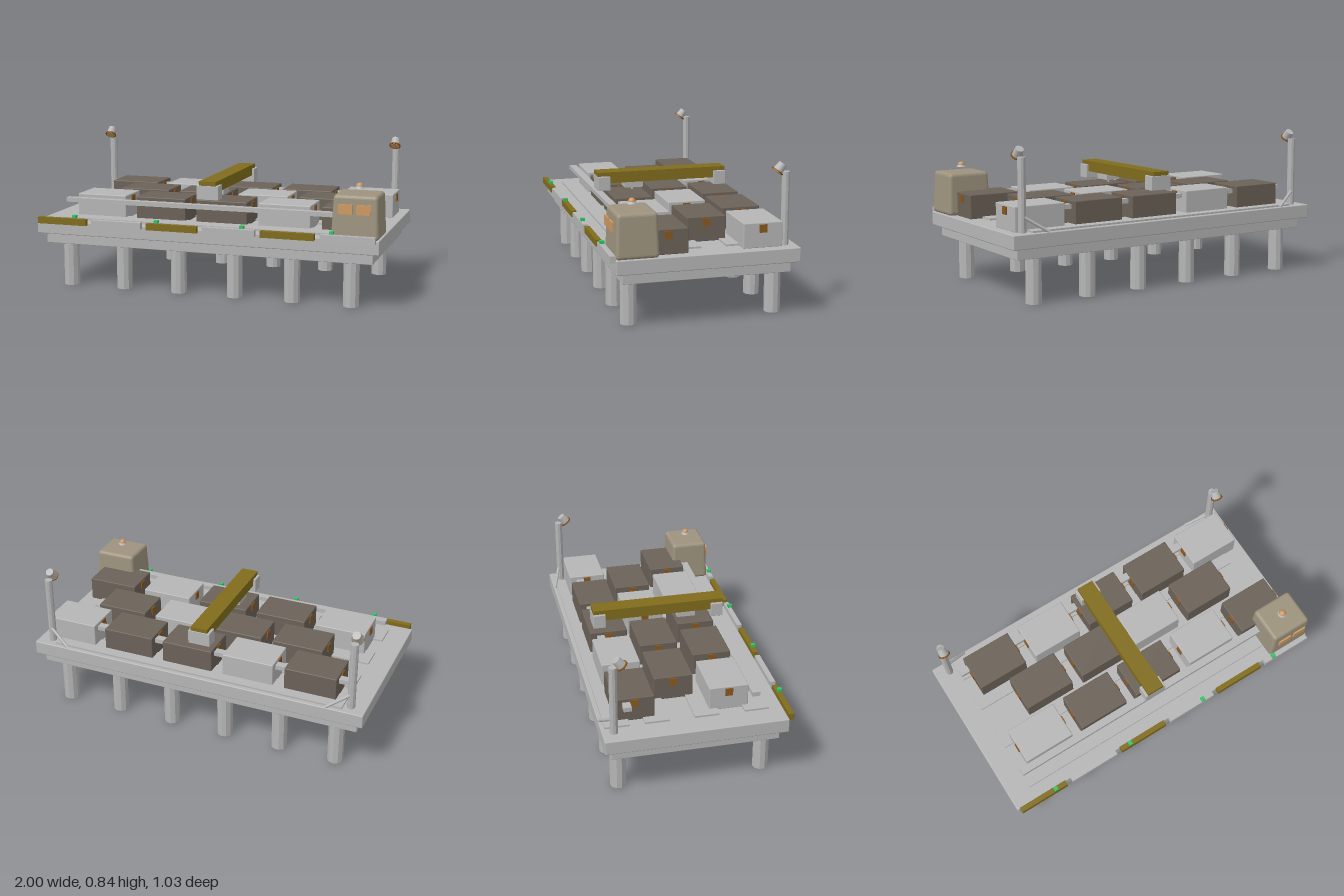
import * as THREE from 'three';
import { RoundedBoxGeometry } from 'three/addons/geometries/RoundedBoxGeometry.js';

const mat = (name, color, extra = {}) => {
  const m = new THREE.MeshStandardMaterial({ color, ...extra });
  m.name = name;
  return m;
};

export function createModel() {
  const root = new THREE.Group();
  root.name = 'cargoPier';

  const grey = mat('concreteGrey', 0xb6b6b6);
  const greyFlat = mat('steelGrey', 0xb6b6b6, { flatShading: true });
  const dark = mat('darkTaupe', 0x6b6258);
  const gold = mat('fenderGold', 0x806c1c);
  const beige = mat('cabinBeige', 0x9d937e);
  const glass = mat('windowOrange', 0xcf9a62);
  const hatchBrown = mat('hatchBrown', 0x8a5820);
  const green = mat('signalGreen', 0x2fc565);

  const add = (name, geo, material, x, y, z, parent = root) => {
    const m = new THREE.Mesh(geo, material);
    m.name = name;
    m.position.set(x, y, z);
    parent.add(m);
    return m;
  };
  // Box given by its centre in x and z and its bottom and top in y
  const box = (name, material, w, d, y0, y1, x, z, r = 0) => {
    const h = y1 - y0;
    const geo = r ? new RoundedBoxGeometry(w, h, d, 2, r) : new THREE.BoxGeometry(w, h, d);
    return add(name, geo, material, x, (y0 + y1) / 2, z);
  };

  // Deck, under-slab and piles
  box('deck', grey, 2, 0.995, 0.311, 0.39, 0, -0.013, 0.005);
  box('underSlab', grey, 1.92, 0.915, 0.25, 0.312, 0, -0.013, 0.003);
  const pileGeo = new THREE.CylinderGeometry(0.045, 0.045, 0.255, 10);
  for (let i = 0; i < 6; i++) {
    for (const z of [0.385, -0.415]) {
      const pile = add('pile', pileGeo, greyFlat, -0.833 + i * 0.3333, 0.1275, z);
      pile.rotation.y = i * 0.9;
    }
  }

  // Low strips on the deck
  for (const z of [-0.42, -0.205, 0.065, 0.34]) box('deckStrip', grey, 1.75, 0.135, 0.385, 0.4, 0, z);

  // Staggered rows of containers with a hatch at each end
  const rows = [
    { z: -0.317, x0: -0.67, kinds: 'DLDDL' },
    { z: -0.068, x0: -0.505, kinds: 'DDLD' },
    { z: 0.198, x0: -0.67, kinds: 'LDDLD' },
  ];
  for (const row of rows) {
    [...row.kinds].forEach((kind, i) => {
      const x = row.x0 + i * 0.3665;
      box('container', kind === 'D' ? dark : grey, 0.3, 0.216, 0.388, 0.525, x, row.z, 0.005);
      for (const s of [-1, 1]) box('hatch', hatchBrown, 0.009, 0.042, 0.472, 0.515, x + s * 0.152, row.z);
    });
  }

  // Gantry: two rails, end carriages, beam and hoist
  for (const z of [0.333, -0.363]) {
    box('gantryRail', grey, 1.75, 0.043, 0.48, 0.505, 0, z);
    box('gantryCarriage', grey, 0.13, 0.072, 0.538, 0.62, 0, z, 0.003);
  }
  box('gantryBeam', gold, 0.1, 0.765, 0.579, 0.643, 0, -0.014);
  box('hoist', grey, 0.085, 0.107, 0.545, 0.58, 0, 0.153);
  add('hoistCable', new THREE.CylinderGeometry(0.006, 0.006, 0.05, 8), grey, 0, 0.525, 0.153);

  // Fenders along the front edge, with signal lamps
  for (let i = 0; i < 6; i++) {
    box('fender', i % 2 ? grey : gold, 0.3, 0.03, 0.375, 0.412, -0.833 + i * 0.3333, 0.499);
  }
  for (let i = 0; i < 4; i++) box('signalLamp', green, 0.023, 0.024, 0.417, 0.433, -0.755 + i * 0.5, 0.502);

  // Control cabin, narrowing towards the top
  const cabinGeo = new RoundedBoxGeometry(0.262, 0.239, 0.232, 3, 0.02);
  const p = cabinGeo.attributes.position;
  for (let i = 0; i < p.count; i++) {
    const k = 1 - 0.08 * (p.getY(i) / 0.239 + 0.5);
    p.setX(i, p.getX(i) * k);
    p.setZ(i, p.getZ(i) * k);
  }
  cabinGeo.computeVertexNormals();
  add('cabin', cabinGeo, beige, 0.866, 0.508, 0.37);
  for (const x of [0.814, 0.914]) box('cabinWindow', glass, 0.078, 0.009, 0.527, 0.581, x, 0.491);

  // Beacon above the cabin
  add('beaconBase', new THREE.CylinderGeometry(0.018, 0.026, 0.013, 16), grey, 0.865, 0.658, 0.37);
  add('beaconDome', new THREE.SphereGeometry(0.019, 16, 8, 0, Math.PI * 2, 0, Math.PI / 2), glass, 0.865, 0.663, 0.37);

  // Floodlight masts at the back corners
  for (const s of [-1, 1]) {
    const x = s * 0.915;
    add('mast', new THREE.CylinderGeometry(0.022, 0.022, 0.4, 10), greyFlat, x, 0.585, -0.447);
    const a = new THREE.Vector3(x, 0.475, -0.458);
    const b = new THREE.Vector3(s * 0.785, 0.39, -0.503);
    add('mastBrace', new THREE.TubeGeometry(new THREE.LineCurve3(a, b), 1, 0.009, 8), grey, 0, 0, 0);

    // Lamp head tilted down towards the deck
    const lamp = new THREE.Group();
    lamp.name = 'floodlight';
    lamp.position.set(x, 0.806, -0.413);
    lamp.rotation.x = -0.67;
    root.add(lamp);
    add('lampHousing', new THREE.CylinderGeometry(0.023, 0.028, 0.046, 12), grey, 0, 0.003, 0, lamp);
    add('lampRim', new THREE.CylinderGeometry(0.034, 0.034, 0.007, 16), hatchBrown, 0, -0.022, 0, lamp);
    add('lampLens', new THREE.CylinderGeometry(0.027, 0.027, 0.004, 16), glass, 0, -0.026, 0, lamp);
  }

  return root;
}
